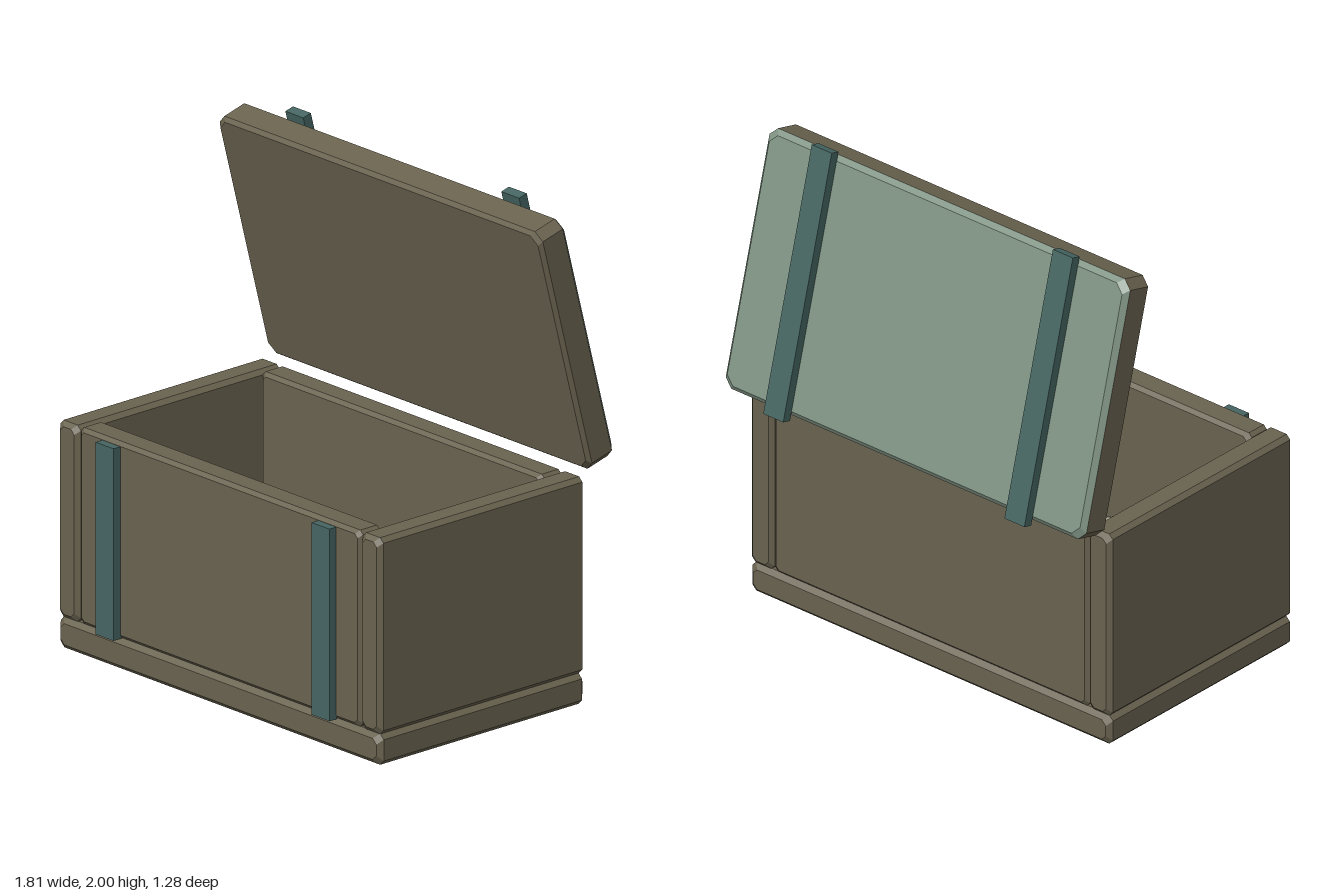
import * as THREE from 'three';

const paint = (color) => new THREE.MeshStandardMaterial({ color, flatShading: true });
const wood = paint(0x69624f);
const cover = paint(0x7f9383);
const metal = paint(0x456562);
const glass = paint(0x5f8785);
const cream = paint(0xa8a58c);

// Lofts a corner-cut rectangle through layers of [z, inset], capped at both ends
function loft(w, h, cut, layers) {
  const rings = layers.map(([z, inset]) => {
    const x = w / 2 - inset, y = h / 2 - inset;
    return [
      [x, -y + cut], [x, y - cut], [x - cut, y], [-x + cut, y],
      [-x, y - cut], [-x, -y + cut], [-x + cut, -y], [x - cut, -y],
    ].map(([px, py]) => [px, py, z]);
  });
  const out = [];
  const tri = (a, b, c) => out.push(...a, ...b, ...c);
  for (let k = 0; k < rings.length - 1; k++) {
    const a = rings[k], b = rings[k + 1];
    for (let i = 0; i < 8; i++) {
      const j = (i + 1) % 8;
      tri(a[i], a[j], b[j]);
      tri(a[i], b[j], b[i]);
    }
  }
  const first = rings[0], last = rings[rings.length - 1];
  for (let i = 1; i < 7; i++) {
    tri(first[0], first[i + 1], first[i]);
    tri(last[0], last[i], last[i + 1]);
  }
  const g = new THREE.BufferGeometry();
  g.setAttribute('position', new THREE.Float32BufferAttribute(out, 3));
  g.computeVertexNormals();
  return g;
}

// Box with every edge chamfered by c
const chamferBox = (w, h, d, c) =>
  loft(w, h, c, [[-d / 2, c], [-d / 2 + c, 0], [d / 2 - c, 0], [d / 2, c]]);

function add(parent, name, geometry, material, x = 0, y = 0, z = 0) {
  const mesh = new THREE.Mesh(geometry, material);
  mesh.name = name;
  mesh.position.set(x, y, z);
  parent.add(mesh);
  return mesh;
}

const lathe = (points) =>
  new THREE.LatheGeometry(points.map(([r, y]) => new THREE.Vector2(r, y)), 12);

// Round flask with a pale lip and a sunken stopper
function createFlask() {
  const flask = new THREE.Group();
  flask.name = 'flask';
  add(flask, 'flaskBody', lathe([
    [0, 0], [0.12, 0.01], [0.18, 0.08], [0.21, 0.18], [0.19, 0.28], [0.14, 0.35], [0.11, 0.38],
  ]), glass);
  add(flask, 'flaskLip', lathe([
    [0.11, 0.37], [0.14, 0.38], [0.14, 0.41], [0.105, 0.425], [0.09, 0.415], [0.09, 0.38],
  ]), cream);
  add(flask, 'stopper', new THREE.CylinderGeometry(0.092, 0.092, 0.04, 12), metal, 0, 0.385, 0);
  return flask;
}

export function createModel() {
  const model = new THREE.Group();
  model.name = 'openCrate';

  // Base and four walls
  const midZ = 0.085;
  add(model, 'base', chamferBox(1.81, 0.125, 1.05, 0.02), wood, 0, 0.0625, midZ);
  for (const s of [-1, 1]) {
    add(model, 'sideWall', chamferBox(0.115, 0.787, 1.05, 0.018), wood, s * 0.8475, 0.5175, midZ);
    add(model, s > 0 ? 'frontWall' : 'backWall', chamferBox(1.578, 0.787, 0.115, 0.015),
      wood, 0, 0.5175, midZ + s * 0.4625);
    add(model, 'frontStrap', new THREE.BoxGeometry(0.1, 0.77, 0.04), metal, s * 0.605, 0.51, 0.62);
  }

  // Lid leaning back, its outside towards local -z
  const lid = new THREE.Group();
  lid.name = 'lid';
  lid.position.set(0, 1.445, -0.399);
  lid.rotation.x = THREE.MathUtils.degToRad(14.8);
  model.add(lid);
  add(lid, 'lidPanel', loft(1.81, 1.05, 0.035, [[-0.05, 0], [0.055, 0], [0.07, 0.015]]), wood);
  add(lid, 'lidCover', loft(1.81, 1.05, 0.035, [[-0.07, 0.02], [-0.05, 0]]), cover);
  for (const s of [-1, 1]) {
    add(lid, 'lidStrap', new THREE.BoxGeometry(0.1, 1.085, 0.04), metal, s * 0.605, 0, -0.089);
  }

  // Flasks standing inside
  for (const x of [-0.455, 0.15, 0.45]) {
    const flask = createFlask();
    flask.position.set(x, 0.125, 0.08);
    model.add(flask);
  }
  return model;
}
